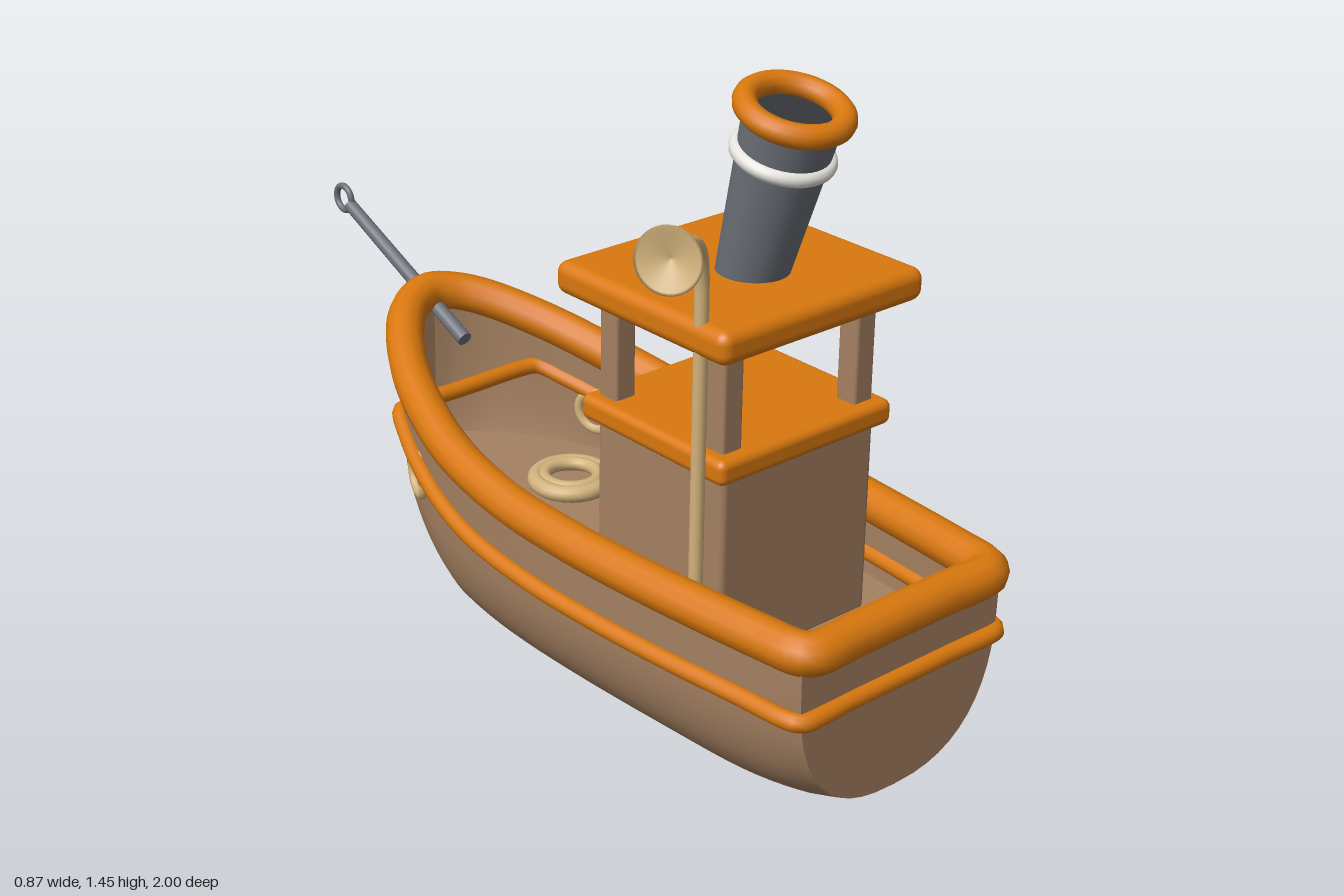
import * as THREE from 'three';
import { RoundedBoxGeometry } from 'three/addons/geometries/RoundedBoxGeometry.js';

const V = (x, y, z) => new THREE.Vector3(x, y, z);

// Hull tables: [z, value], running from stern (+z) to bow (-z)
const WIDTH = [[0.96, 0.28], [0.6, 0.315], [0.25, 0.335], [0, 0.33], [-0.2, 0.295], [-0.4, 0.225],
  [-0.5, 0.165], [-0.56, 0.115], [-0.6, 0.06], [-0.617, 0.02]];
const KEEL = [[0.96, 0.055], [0.86, 0.022], [0.72, 0.003], [0.5, 0], [-0.1, 0], [-0.18, 0.004], [-0.3, 0.035],
  [-0.4, 0.075], [-0.5, 0.135], [-0.56, 0.185], [-0.6, 0.235], [-0.617, 0.265]];
const SHEER = [[0.96, 0.452], [0.5, 0.449], [0.2, 0.456], [0, 0.473], [-0.2, 0.51], [-0.4, 0.565], [-0.617, 0.64]];

// Smooth cubic interpolation of a table at z
function sample(table, z) {
  const n = table.length;
  let i = 0;
  while (i < n - 2 && z < table[i + 1][0]) i++;
  const slope = k => {
    const a = table[Math.max(k - 1, 0)], b = table[Math.min(k + 1, n - 1)];
    return (b[1] - a[1]) / (b[0] - a[0]);
  };
  const [z0, v0] = table[i], [z1, v1] = table[i + 1];
  const d = z1 - z0, t = Math.min(1, Math.max(0, (z - z0) / d));
  const t2 = t * t, t3 = t2 * t;
  return (2 * t3 - 3 * t2 + 1) * v0 + (t3 - 2 * t2 + t) * d * slope(i)
    + (3 * t2 - 2 * t3) * v1 + (t3 - t2) * d * slope(i + 1);
}

const POWER = 2.5, BILGE = 0.33;
function halfWidth(z, y) {
  const s = Math.min(1, Math.max(0, (y - sample(KEEL, z)) / BILGE));
  return sample(WIDTH, z) * Math.pow(1 - Math.pow(1 - s, POWER), 1 / POWER);
}

// Hull cross-section from left top edge, under the keel, to the other top edge
function section(z) {
  const w = sample(WIDTH, z), k = sample(KEEL, z), top = sample(SHEER, z);
  const half = [];
  for (let j = 0; j <= 12; j++) {
    const a = j / 12 * Math.PI / 2;
    half.push([w * Math.pow(Math.sin(a), 2 / POWER),
      Math.min(top, k + BILGE * (1 - Math.pow(Math.max(0, Math.cos(a)), 2 / POWER)))]);
  }
  half.push([w, top]);
  return [...half.slice(1).reverse().map(([x, y]) => [-x, y]), ...half];
}

function hullGeometry() {
  const pos = [], idx = [], rows = 64;
  let cols = 0;
  for (let i = 0; i <= rows; i++) {
    const z = 0.96 - 1.577 * Math.sin(i / rows * Math.PI / 2);
    const pts = section(z);
    cols = pts.length;
    for (const [x, y] of pts) pos.push(x, y, z);
  }
  for (let i = 0; i < rows; i++) for (let j = 0; j < cols - 1; j++) {
    const a = i * cols + j, b = a + cols;
    idx.push(a, b, a + 1, b, b + 1, a + 1);
  }
  const g = new THREE.BufferGeometry();
  g.setAttribute('position', new THREE.Float32BufferAttribute(pos, 3));
  g.setIndex(idx);
  g.computeVertexNormals();
  return g;
}

const flatShape = pts => new THREE.ShapeGeometry(new THREE.Shape(pts.map(p => new THREE.Vector2(p[0], p[1]))));

// Closed loop: along one side, optional bow point, back along the other, across the stern
function loopTube(side, middle, radius) {
  const pts = [...side, ...middle, ...side.slice().reverse().map(p => V(-p.x, p.y, p.z))];
  const s = side[0];
  pts.push(V(-s.x * 0.5, s.y, s.z), V(0, s.y, s.z), V(s.x * 0.5, s.y, s.z));
  return new THREE.TubeGeometry(new THREE.CatmullRomCurve3(pts, true), 260, radius, 12, true);
}

export function createModel() {
  const mat = (name, color, side = THREE.FrontSide) => {
    const m = new THREE.MeshStandardMaterial({ color, side });
    m.name = name;
    return m;
  };
  const wood = mat('wood', 0xa48061, THREE.DoubleSide);
  const orange = mat('orange paint', 0xd9780e);
  const steel = mat('grey steel', 0x6b7078, THREE.DoubleSide);
  const brass = mat('brass', 0xd2b27c, THREE.DoubleSide);
  const white = mat('white paint', 0xe6e4de);
  const dark = mat('soot', 0x35373a);

  const model = new THREE.Group();
  model.name = 'tugboat';
  const boat = new THREE.Group();
  boat.name = 'boat';
  boat.position.x = 0.042;
  model.add(boat);

  const add = (name, geo, material, x = 0, y = 0, z = 0, parent = boat) => {
    const m = new THREE.Mesh(geo, material);
    m.name = name;
    m.position.set(x, y, z);
    parent.add(m);
    return m;
  };
  const box = (name, w, y0, y1, z0, z1, r, material, x = 0) =>
    add(name, new RoundedBoxGeometry(w, y1 - y0, z1 - z0, 3, r), material, x, (y0 + y1) / 2, (z0 + z1) / 2);
  const alignUp = (mesh, dir) => mesh.quaternion.setFromUnitVectors(V(0, 1, 0), dir.clone().normalize());

  // Hull, transom, stem and deck
  add('hull', hullGeometry(), wood);
  add('transom', flatShape(section(0.96)), wood, 0, 0, 0.96);
  add('stem', flatShape(section(-0.617)), wood, 0, 0, -0.617);
  const edge = [];
  for (let i = 0; i <= 40; i++) {
    const z = 0.955 - i / 40 * 1.565;
    edge.push([halfWidth(z, 0.26), -z]);
  }
  const deck = flatShape([...edge, ...edge.slice().reverse().map(([x, y]) => [-x, y])]);
  add('deck', deck.rotateX(-Math.PI / 2), wood, 0, 0.26, 0);

  // Gunwale and rubbing strake
  const railSide = [V(0.245, 0.452, 0.955), V(0.265, 0.452, 0.935)];
  for (const z of [0.85, 0.7, 0.5, 0.3, 0.1, -0.1, -0.25, -0.38, -0.48, -0.55, -0.59])
    railSide.push(V(sample(WIDTH, z) - 0.014, sample(SHEER, z), z));
  add('gunwale', loopTube(railSide, [V(0, 0.64, -0.61)], 0.045), orange);
  const strakeSide = [V(0.275, 0.312, 0.963), V(0.288, 0.312, 0.945)];
  for (const z of [0.8, 0.6, 0.4, 0.2, 0, -0.15, -0.28, -0.38, -0.45]) {
    const y = sample(SHEER, z) - 0.14;
    strakeSide.push(V(halfWidth(z, y) + 0.006, y, z));
  }
  const last = strakeSide[strakeSide.length - 1];
  add('rubbingStrake', loopTube(strakeSide, [V(last.x - 0.03, last.y, -0.46), V(0, last.y, -0.46),
    V(0.03 - last.x, last.y, -0.46)], 0.02), orange);

  // Cabin and wheelhouse
  box('cabin', 0.426, 0.25, 0.7, 0.27, 0.655, 0.015, wood);
  box('cabinRoof', 0.48, 0.69, 0.746, 0.245, 0.68, 0.018, orange);
  for (const x of [-0.183, 0.183]) for (const z of [0.3, 0.622])
    box('wheelhousePost', 0.054, 0.735, 0.968, z - 0.027, z + 0.027, 0.008, wood, x);
  box('wheelhouseBeam', 0.4, 0.922, 0.968, 0.276, 0.324, 0.006, wood);
  box('wheelhouseRoof', 0.555, 0.968, 1.04, 0.205, 0.717, 0.026, orange);

  // Raked funnel
  const funnel = new THREE.Group();
  funnel.name = 'funnel';
  funnel.position.set(0, 1.045, 0.5);
  funnel.rotation.x = 0.28;
  boat.add(funnel);
  add('funnelPipe', new THREE.CylinderGeometry(0.1, 0.074, 0.39, 40, 1, true), steel, 0, 0.175, 0, funnel);
  add('funnelMouth', new THREE.CircleGeometry(0.098, 40).rotateX(-Math.PI / 2), dark, 0, 0.355, 0, funnel);
  const ring = (R, r) => new THREE.TorusGeometry(R, r, 12, 40).rotateX(Math.PI / 2);
  add('funnelRim', ring(0.099, 0.025), orange, 0, 0.37, 0, funnel);
  add('funnelBand', ring(0.093, 0.016), white, 0, 0.27, 0, funnel);

  // Horn pipe and bell
  const pipe = new THREE.CurvePath();
  const elbow = V(-0.257, 1.08, 0.63), neck = V(-0.335, 1.228, 0.68);
  pipe.add(new THREE.LineCurve3(V(-0.257, 0.26, 0.63), elbow));
  pipe.add(new THREE.CubicBezierCurve3(elbow, V(-0.257, 1.16, 0.63), V(-0.27, 1.215, 0.64), neck));
  add('hornPipe', new THREE.TubeGeometry(pipe, 80, 0.015, 12), brass);
  const bell = [[0.016, -0.015], [0.02, 0.01], [0.033, 0.05], [0.05, 0.095], [0.066, 0.14], [0.06, 0.14], [0, 0.12]];
  const bellMesh = add('hornBell', new THREE.LatheGeometry(bell.map(p => new THREE.Vector2(...p)), 32), brass,
    neck.x, neck.y, neck.z);
  alignUp(bellMesh, V(-0.12, 0.022, 0.073));

  // Lifebuoy in eight painted segments
  const buoy = new THREE.Group();
  buoy.name = 'lifebuoy';
  buoy.position.set(0.242, 0.575, 0.464);
  buoy.rotation.y = -Math.PI / 2;
  boat.add(buoy);
  for (let k = 0; k < 8; k++)
    add('lifebuoySegment', new THREE.TorusGeometry(0.081, 0.025, 14, 8, Math.PI / 4), k % 2 ? orange : white,
      0, 0, 0, buoy).rotation.z = k * Math.PI / 4;

  // Portholes on both sides and rope coil on deck
  const pz = -0.3, py = 0.355, px = halfWidth(pz, py);
  const turn = Math.atan2(halfWidth(pz + 0.04, py) - halfWidth(pz - 0.04, py), 0.08);
  for (const s of [-1, 1])
    add('porthole', new THREE.TorusGeometry(0.048, 0.012, 10, 32), brass, s * px, py, pz)
      .rotation.y = s * (Math.PI / 2 + turn);
  add('ropeCoilOuter', ring(0.084, 0.02), brass, 0.088, 0.278, -0.18);
  add('ropeCoilInner', ring(0.064, 0.016), brass, 0.088, 0.285, -0.18);

  // Bowsprit with end ring and collar
  const a = V(0, 0.56, -0.47), b = V(0, 0.767, -0.932), dir = b.clone().sub(a);
  const mid = a.clone().add(b).multiplyScalar(0.5);
  alignUp(add('bowsprit', new THREE.CylinderGeometry(0.016, 0.018, dir.length(), 16), steel, 0, mid.y, mid.z), dir);
  add('bowspritRing', new THREE.TorusGeometry(0.031, 0.008, 10, 28), steel, 0, 0.778, -0.957).rotation.y = Math.PI / 2;
  alignUp(add('bowspritCollar', ring(0.036, 0.02), orange, 0, 0.632, -0.63), dir);

  // Anchor hanging against the side
  const hang = new THREE.Group();
  hang.name = 'anchor';
  hang.position.set(0.352, 0.35, -0.015);
  hang.rotation.z = -0.13;
  boat.add(hang);
  const anchor = new THREE.Group();
  anchor.name = 'anchorBody';
  anchor.rotation.set(0, Math.PI / 2, -0.2);
  hang.add(anchor);
  add('anchorShank', new THREE.CylinderGeometry(0.014, 0.02, 0.28, 14), steel, 0, -0.135, 0, anchor);
  add('anchorStock', new THREE.CylinderGeometry(0.011, 0.011, 0.17, 12).rotateZ(Math.PI / 2), steel, 0, -0.03, 0, anchor);
  const arms = add('anchorArms', new THREE.TorusGeometry(0.103, 0.018, 10, 28, Math.PI * 0.9), steel, 0, -0.165, 0, anchor);
  arms.rotation.z = Math.PI * 1.05;
  for (const s of [-1, 1]) {
    const fluke = add('anchorFluke', new THREE.ConeGeometry(0.04, 0.085, 4), steel, s * 0.098, -0.145, 0, anchor);
    fluke.scale.z = 0.6;
    fluke.rotation.z = s * -0.12;
  }
  [[0, 0.012, 0.018, 0], [0.005, 0.042, 0.022, 1], [0.01, 0.072, 0.022, 0.3], [0.02, 0.105, 0.024, 0]].forEach(([x, y, R, t]) => {
    const link = add('chainLink', new THREE.TorusGeometry(R, 0.008, 8, 20), steel, x, y, 0, anchor);
    link.rotation.y = t;
  });
  return model;
}
